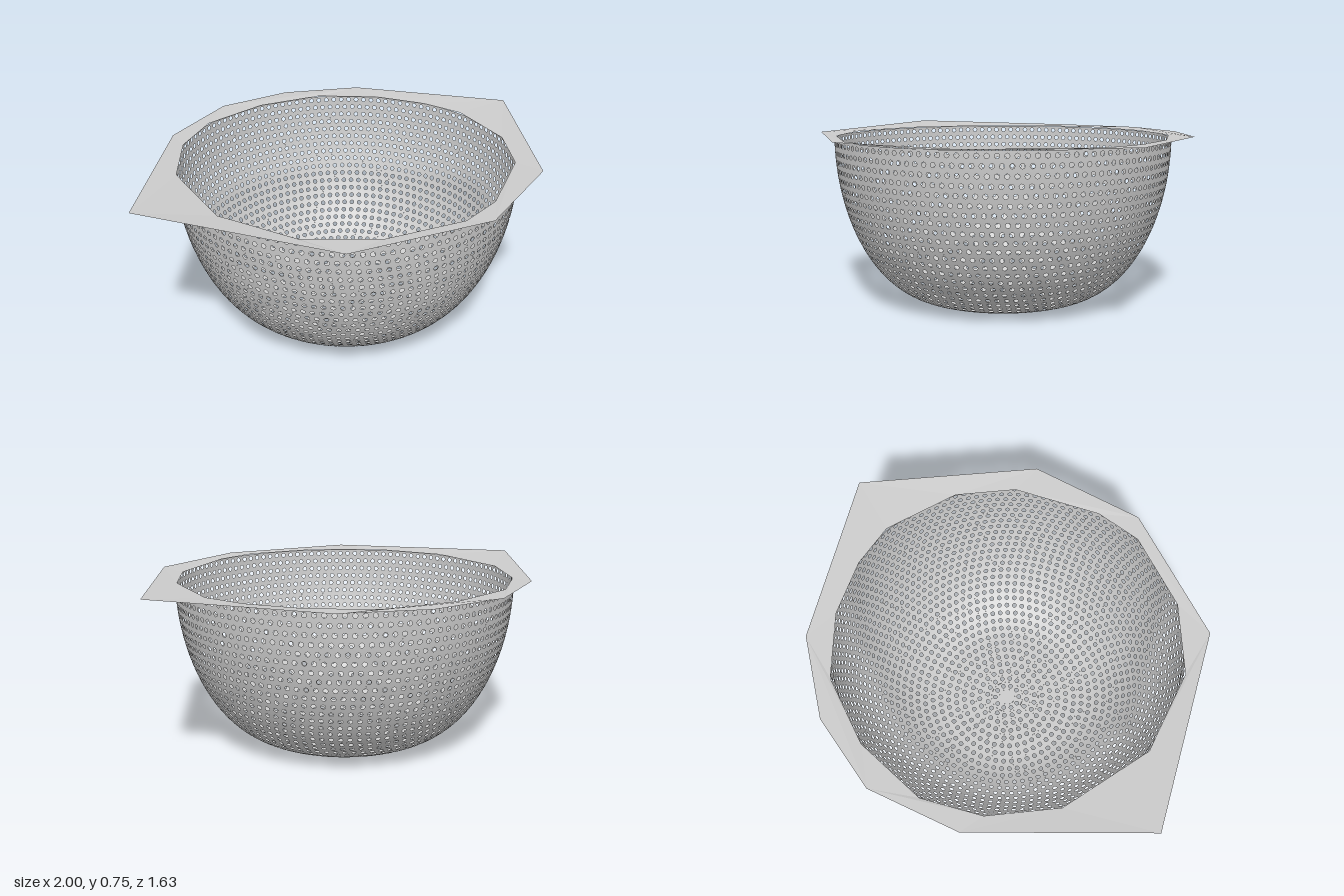
import * as THREE from 'three';

const ROWS = 32, PITCH = 0.038, HOLE = 0.26, SIDES = 8;

// Half section of the bowl: flat base, then an elliptical wall
const profile = new THREE.Path();
profile.moveTo(0, 0);
profile.lineTo(0.3, 0);
profile.absellipse(0.3, 0.73, 0.445, 0.73, -Math.PI / 2, 0, false);

// Wall of small tiles, each with a round hole in its middle
function perforatedBowl() {
  const pos = [], nor = [], index = [];
  for (let row = 0; row < ROWS; row++) {
    const mid = profile.getPoint((row + 0.5) / ROWS).x;
    const count = Math.max(8, Math.round(2 * Math.PI * mid / PITCH));
    const hole = row === 0 ? 0 : HOLE;
    const addVertex = (col, u, v) => {
      const t = Math.min(1, Math.max(0, (row + 0.5 + v) / ROWS));
      const p = profile.getPoint(t);
      const d = profile.getPoint(Math.min(1, t + 0.004)).sub(profile.getPoint(Math.max(0, t - 0.004))).normalize();
      const a = (col + 0.5 * (row % 2) + u) / count * Math.PI * 2;
      pos.push(p.x * Math.cos(a), p.y, p.x * Math.sin(a));
      nor.push(d.y * Math.cos(a), -d.x, d.y * Math.sin(a));
    };
    for (let col = 0; col < count; col++) {
      const base = pos.length / 3;
      for (let i = 0; i < SIDES; i++) {
        const a = i / SIDES * Math.PI * 2, c = Math.cos(a), s = Math.sin(a);
        const k = 0.5 / Math.max(Math.abs(c), Math.abs(s));
        addVertex(col, c * k, s * k);
        addVertex(col, c * hole, s * hole);
        const o = base + 2 * i, n = base + 2 * ((i + 1) % SIDES);
        index.push(o, o + 1, n, n, o + 1, n + 1);
      }
    }
  }
  const geo = new THREE.BufferGeometry();
  geo.setAttribute('position', new THREE.Float32BufferAttribute(pos, 3));
  geo.setAttribute('normal', new THREE.Float32BufferAttribute(nor, 3));
  geo.setIndex(index);
  return geo;
}

// Thin faceted flange, outlines given as [x, z]
function flange() {
  const outer = [[-1, -0.01], [-0.525, -0.63], [-0.165, -0.82], [0.185, -0.81], [0.525, -0.66],
    [1, -0.07], [0.585, 0.61], [0.12, 0.815], [-0.485, 0.7]];
  const inner = [[0, -0.735], [0.31, -0.68], [0.54, -0.5], [0.68, -0.29], [0.745, -0.1], [0.7, 0.24],
    [0.56, 0.47], [0.24, 0.69], [0.04, 0.745], [-0.3, 0.68], [-0.56, 0.5], [-0.68, 0.25],
    [-0.72, 0.17], [-0.69, -0.25], [-0.53, -0.515], [-0.32, -0.675]];
  const toPoints = list => list.map(([x, z]) => new THREE.Vector2(x, -z));
  const shape = new THREE.Shape(toPoints(outer));
  shape.holes.push(new THREE.Path(toPoints(inner)));
  const geo = new THREE.ShapeGeometry(shape).rotateX(-Math.PI / 2);
  // The flange rises slightly towards its outer corners
  const p = geo.attributes.position;
  for (let i = 0; i < p.count; i++) {
    const r = Math.hypot(p.getX(i), p.getZ(i));
    p.setY(i, 0.733 + Math.max(0, r - 0.75) * 0.07);
  }
  geo.computeVertexNormals();
  return geo;
}

export function createModel() {
  const group = new THREE.Group();
  group.name = 'colander';
  const bowl = new THREE.Mesh(perforatedBowl(),
    new THREE.MeshStandardMaterial({ color: 0xcccccc, side: THREE.DoubleSide }));
  bowl.name = 'perforatedBowl';
  const rim = new THREE.Mesh(flange(),
    new THREE.MeshStandardMaterial({ color: 0xcccccc, side: THREE.DoubleSide, flatShading: true }));
  rim.name = 'rimFlange';
  group.add(bowl, rim);
  return group;
}
